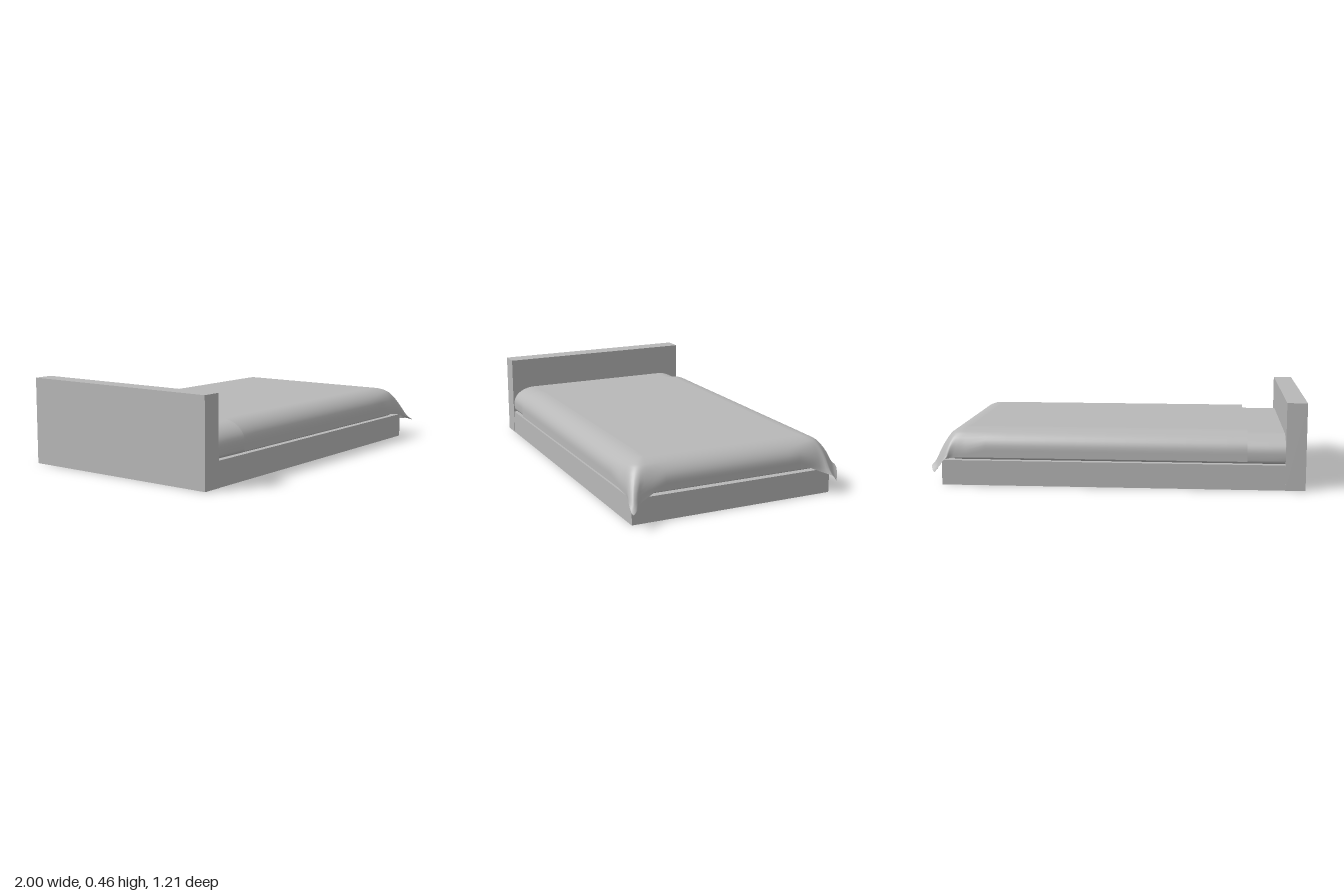
import * as THREE from 'three';
import { mergeVertices } from 'three/addons/utils/BufferGeometryUtils.js';

const CZ = 0.007; // the bed sits slightly forward of centre
const ROUND = 0.13; // width of the soft shoulder
const ARC = 16, SIDE = 14;

const V = (x, y, z) => new THREE.Vector3(x, y, z);
const lerp = THREE.MathUtils.lerp;

// Soft shoulder from the flat top down to the side: [inset, height] pairs
function shoulder(top, drop) {
  const rows = [];
  for (let i = 0; i <= 10; i++) {
    const a = (i / 10) * Math.PI / 2;
    rows.push([ROUND * (1 - Math.sin(a)), top - drop * (1 - Math.cos(a))]);
  }
  return rows;
}

// Plan outline running along the front side, round the foot and along the back.
// Each entry is an inner point, an outward direction, and its place on a corner.
function outline(x0, x1, half) {
  const xi = x1 - ROUND, zi = half - ROUND, pts = [];
  for (let i = 0; i < SIDE; i++) pts.push({ x: lerp(x0, xi, i / SIDE), z: zi, dx: 0, dz: 1 });
  for (let i = 0; i <= ARC; i++) {
    const a = (i / ARC) * Math.PI / 2;
    pts.push({ x: xi, z: zi, dx: Math.sin(a) ** 0.6, dz: Math.max(0, Math.cos(a)) ** 0.6, corner: 0, t: i / ARC });
  }
  for (let i = 1; i < SIDE; i++) pts.push({ x: xi, z: lerp(zi, -zi, i / SIDE), dx: 1, dz: 0 });
  for (let i = 0; i <= ARC; i++) {
    const a = (i / ARC) * Math.PI / 2;
    pts.push({ x: xi, z: -zi, dx: Math.max(0, Math.cos(a)) ** 0.6, dz: -(Math.sin(a) ** 0.6), corner: 1, t: i / ARC });
  }
  for (let i = 1; i <= SIDE; i++) pts.push({ x: lerp(xi, x0, i / SIDE), z: -zi, dx: 0, dz: -1 });
  return pts;
}

// Flat top with rounded sides, optionally pulled into hanging corner folds
function softSlab(x0, x1, half, profile, folds) {
  const path = outline(x0, x1, half), n = path.length;
  const pos = [], index = [];
  const yTop = profile[0][1], yEnd = profile[profile.length - 1][1];
  for (const [inset, y] of profile) {
    for (const p of path) {
      const r = ROUND - inset;
      const v = V(p.x + p.dx * r, y, CZ + p.z + p.dz * r);
      if (folds && p.corner !== undefined) {
        const k = (yTop - y) / (yTop - yEnd);
        const w = THREE.MathUtils.clamp((k - 0.2) / 0.8, 0, 1) ** 1.2;
        v.lerp(folds[p.corner].getPoint(p.t), w);
      }
      pos.push(v.x, v.y, v.z);
    }
  }
  for (let j = 0; j < profile.length - 1; j++) {
    for (let i = 0; i < n - 1; i++) {
      const a = j * n + i, b = a + n;
      index.push(a, b, a + 1, a + 1, b, b + 1);
    }
  }
  const front = SIDE, back = n - 1 - SIDE;
  index.push(0, front, back, 0, back, n - 1);
  const geo = new THREE.BufferGeometry();
  geo.setAttribute('position', new THREE.Float32BufferAttribute(pos, 3));
  geo.setIndex(index);
  const merged = mergeVertices(geo, 1e-5);
  merged.computeVertexNormals();
  return merged;
}

export function createModel() {
  const group = new THREE.Group();
  const grey = new THREE.MeshStandardMaterial({ color: 0xb8b8b8, side: THREE.DoubleSide });
  grey.name = 'plain grey';

  const add = (name, geo) => {
    const mesh = new THREE.Mesh(geo, grey);
    mesh.name = name;
    group.add(mesh);
    return mesh;
  };

  // Box frame and headboard
  add('headboard', new THREE.BoxGeometry(0.104, 0.456, 1.13)).position.set(-0.948, 0.228, CZ);
  add('base', new THREE.BoxGeometry(1.796, 0.132, 1.126)).position.set(0.002, 0.066, CZ);

  // Mattress with a slightly tucked lower edge
  const mattress = [...shoulder(0.28, 0.09), [0, 0.155], [0.006, 0.143], [0.02, 0.135], [0.04, 0.131]];
  add('mattress', softSlab(-0.93, 0.89, 0.559, mattress));

  // Hem of the blanket where it gathers into a loose fold at each foot corner
  const frontFold = new THREE.CatmullRomCurve3([
    V(0.77, 0.15, 0.579), V(0.87, 0.135, 0.579), V(0.94, 0.115, 0.6), V(0.996, 0.09, 0.605),
    V(0.975, 0.1, 0.575), V(0.925, 0.105, 0.547), V(0.9, 0.15, 0.449),
  ]);
  const backFold = new THREE.CatmullRomCurve3([
    V(0.9, 0.15, -0.435), V(0.915, 0.115, -0.515), V(0.955, 0.105, -0.545), V(0.935, 0.07, -0.58),
    V(0.88, 0.14, -0.607), V(0.86, 0.145, -0.575), V(0.77, 0.15, -0.565),
  ]);

  // Blanket drawn over the mattress, open at the head end
  const blanket = [...shoulder(0.297, 0.1), [0, 0.185], [0, 0.17], [0, 0.15]];
  add('blanket', softSlab(-0.7, 0.9, 0.572, blanket, [frontFold, backFold]));

  return group;
}
